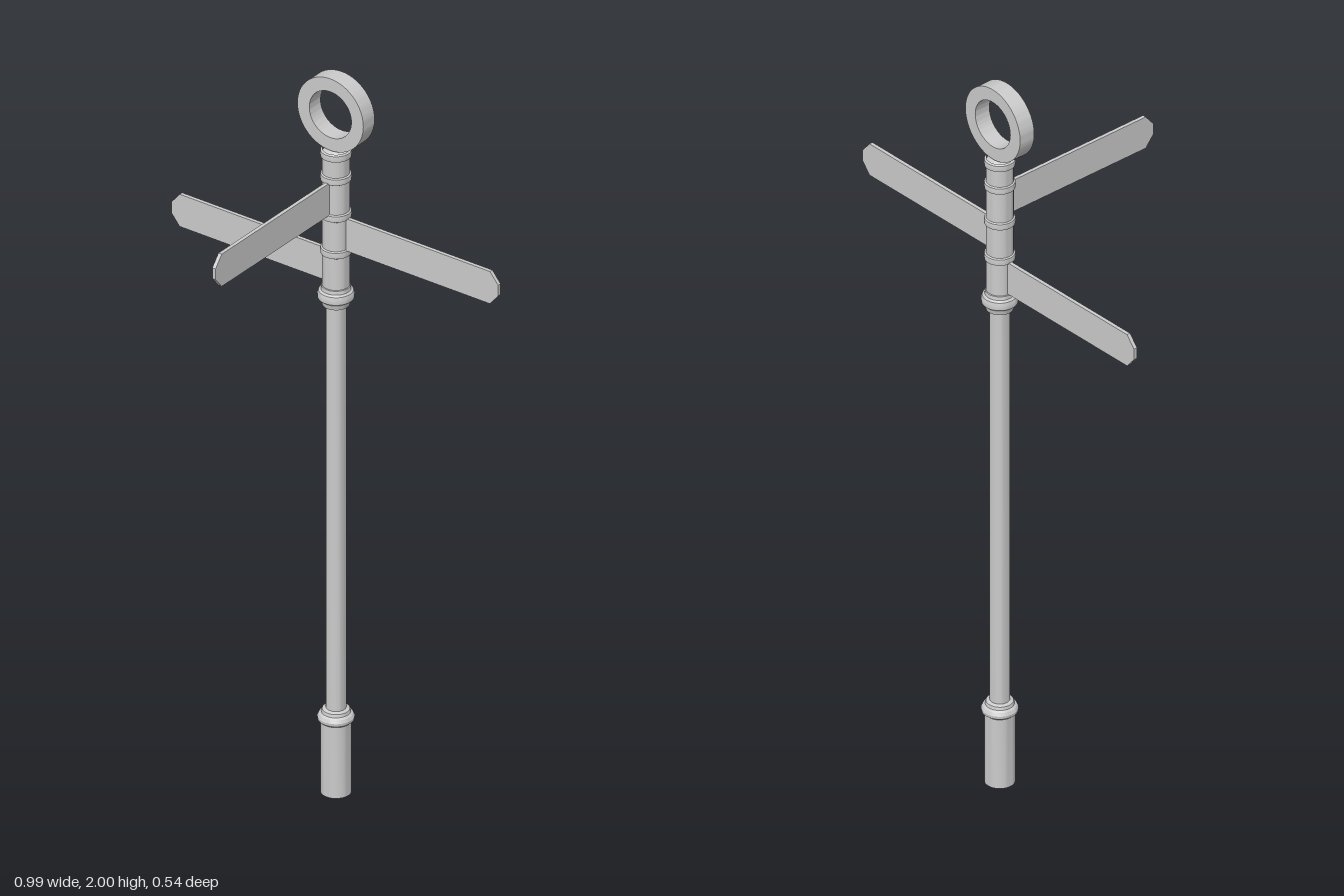
import * as THREE from 'three';
import { toCreasedNormals } from 'three/addons/utils/BufferGeometryUtils.js';

const material = new THREE.MeshStandardMaterial({ color: 0xcccccc });

function addMesh(parent, name, geometry) {
  const mesh = new THREE.Mesh(toCreasedNormals(geometry, 0.5), material);
  mesh.name = name;
  parent.add(mesh);
  return mesh;
}

// Turned part from [radius, height] pairs, bottom to top
function turned(parent, name, profile) {
  const points = profile.map(([r, y]) => new THREE.Vector2(r, y));
  return addMesh(parent, name, new THREE.LatheGeometry(points, 32));
}

// Fingerboard along +x with a blunt pointed end
function fingerboard(parent, name, y, turn) {
  const h = 0.045, end = 0.496, t = 0.01;
  const shape = new THREE.Shape([
    [0, -h], [end - 0.025, -h], [end, -0.015], [end, 0.015], [end - 0.025, h], [0, h],
  ].map(([a, b]) => new THREE.Vector2(a, b)));
  const geometry = new THREE.ExtrudeGeometry(shape, { depth: t, bevelEnabled: false });
  geometry.translate(0, 0, -t / 2);
  const board = addMesh(parent, name, geometry);
  board.position.y = y;
  board.rotation.y = turn;
}

export function createModel() {
  const model = new THREE.Group();
  model.name = 'signpost';
  const post = new THREE.Group();
  post.name = 'post';
  post.position.z = -0.225;
  model.add(post);

  // Wide foot with a moulded collar
  turned(post, 'base', [
    [0, 0], [0.038, 0], [0.038, 0.198], [0.045, 0.204], [0.046, 0.212],
    [0.042, 0.22], [0.036, 0.224], [0.034, 0.232], [0.024, 0.236],
  ]);
  turned(post, 'shaft', [[0.025, 0.22], [0.025, 1.37]]);

  // Moulded collar under the sign section
  turned(post, 'upperCollar', [
    [0.024, 1.36], [0.034, 1.362], [0.037, 1.374], [0.045, 1.382], [0.046, 1.394],
    [0.043, 1.402], [0.037, 1.406], [0.036, 1.416], [0.03, 1.42],
  ]);

  // Sign section, closed with a stepped cap and neck
  turned(post, 'signSection', [
    [0.034, 1.41], [0.034, 1.788], [0.028, 1.794], [0.018, 1.798], [0.018, 1.81], [0, 1.81],
  ]);

  // Bands between the fingerboards
  for (const y of [1.515, 1.617, 1.72, 1.785]) {
    turned(post, 'band', [
      [0.033, y - 0.011], [0.038, y - 0.008], [0.039, y], [0.038, y + 0.008], [0.033, y + 0.011],
    ]);
  }

  fingerboard(post, 'leftBoard', 1.568, 0);
  fingerboard(post, 'rightBoard', 1.465, Math.PI);
  fingerboard(post, 'frontBoard', 1.67, -Math.PI / 2);

  // Flat ring finial
  const ring = new THREE.Shape().absarc(0, 0, 0.1, 0, Math.PI * 2, false);
  ring.holes.push(new THREE.Path().absarc(0, 0, 0.064, 0, Math.PI * 2, true));
  const finial = addMesh(post, 'ringFinial',
    new THREE.ExtrudeGeometry(ring, { depth: 0.046, bevelEnabled: false, curveSegments: 40 }));
  finial.position.set(0, 1.9, -0.023);

  return model;
}
